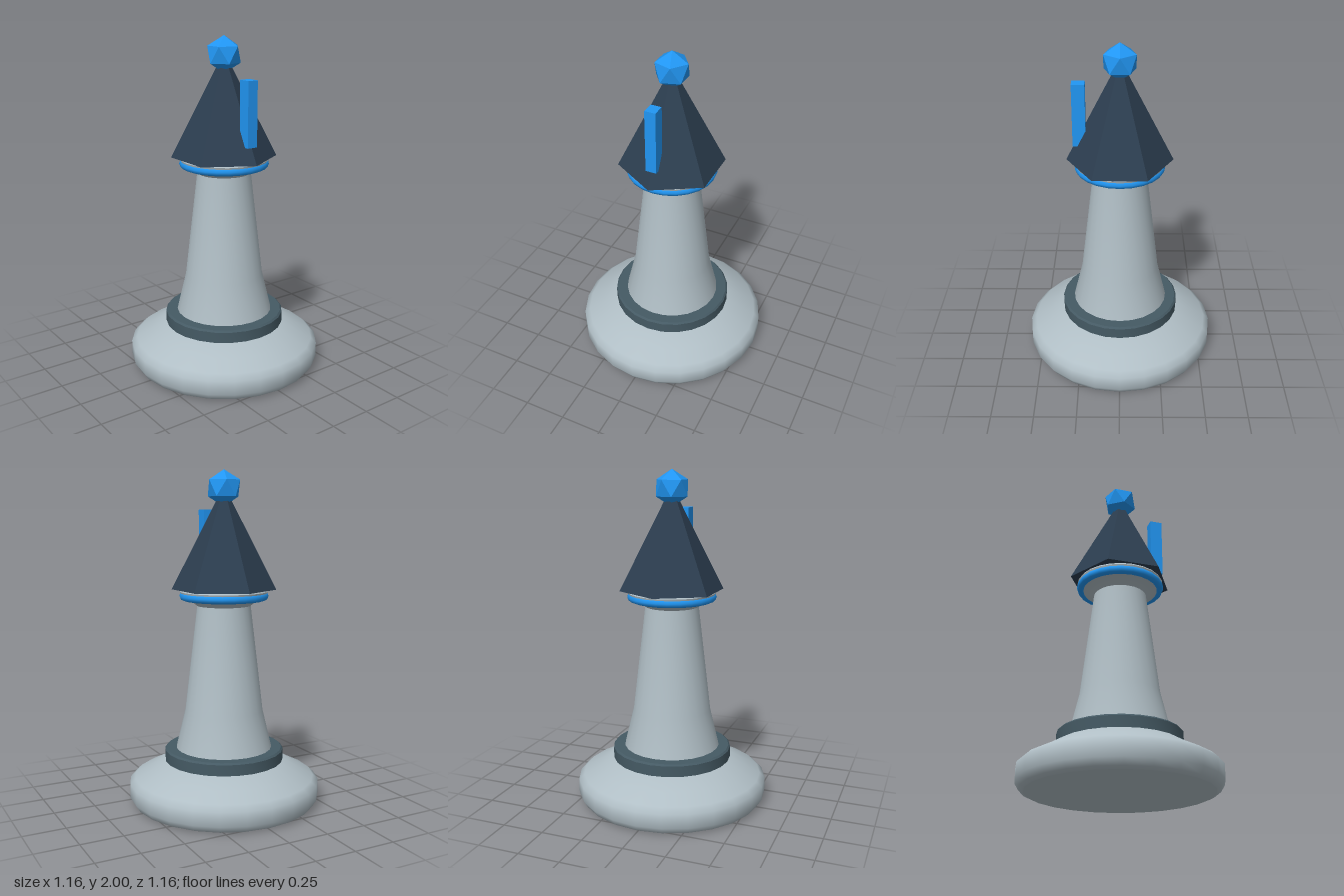
import * as THREE from 'three';
import { toCreasedNormals } from 'three/addons/utils/BufferGeometryUtils.js';

const SIDES = 24;
const paint = (color, flatShading = false) => new THREE.MeshStandardMaterial({ color, flatShading });

export function createModel() {
  const group = new THREE.Group();
  const stone = paint(0xb0bec5);
  const slate = paint(0x455a64);
  const dark = paint(0x2c3e50, true);
  const blue = paint(0x2196f3);
  const blueFlat = paint(0x2196f3, true);

  const add = (name, geometry, material, y = 0, z = 0) => {
    const mesh = new THREE.Mesh(geometry, material);
    mesh.name = name;
    mesh.position.set(0, y, z);
    group.add(mesh);
    return mesh;
  };
  // Turned part from [radius, height] pairs, listed from bottom to top
  const turned = (name, profile, material, crease) => {
    const points = profile.map(([r, y]) => new THREE.Vector2(r, y));
    return add(name, toCreasedNormals(new THREE.LatheGeometry(points, SIDES), crease), material);
  };

  // Wide foot with a flat underside
  turned('base', [[0.53, 0], [0.555, 0.012], [0.578, 0.05], [0.578, 0.135],
    [0.545, 0.165], [0.455, 0.21], [0.36, 0.265], [0, 0.265]], stone, 0.9);
  add('baseUnderside', new THREE.CircleGeometry(0.53, SIDES).rotateX(Math.PI / 2), stone);

  // Flat band on top of the foot
  turned('collar', [[0.36, 0.265], [0.36, 0.33], [0.35, 0.34], [0, 0.34]], slate, 0.6);

  // Tapering stem that flares under the roof
  turned('stem', [[0.29, 0.34], [0.235, 0.57], [0.16, 1.205]], stone, 0.6);
  turned('stemHead', [[0.16, 1.205], [0.2, 1.235], [0.25, 1.25], [0.262, 1.29],
    [0.255, 1.3], [0, 1.3]], stone, 0.6);
  add('neckRing', new THREE.TorusGeometry(0.24, 0.026, 8, SIDES).rotateX(Math.PI / 2), blue, 1.263);

  // Six-sided roof, corners to the front and back
  add('roof', new THREE.CylinderGeometry(0.035, 0.312, 0.54, 6), dark, 1.57);

  // Upright fin on the front of the roof
  add('fin', new THREE.BoxGeometry(0.065, 0.375, 0.075), blueFlat, 1.583, 0.233);

  // Faceted finial standing on one of its points
  const gem = new THREE.IcosahedronGeometry(0.107, 0);
  gem.rotateX(-Math.atan((1 + Math.sqrt(5)) / 2)).rotateY(Math.PI / 2);
  add('finial', gem, blueFlat, 1.893);

  return group;
}
